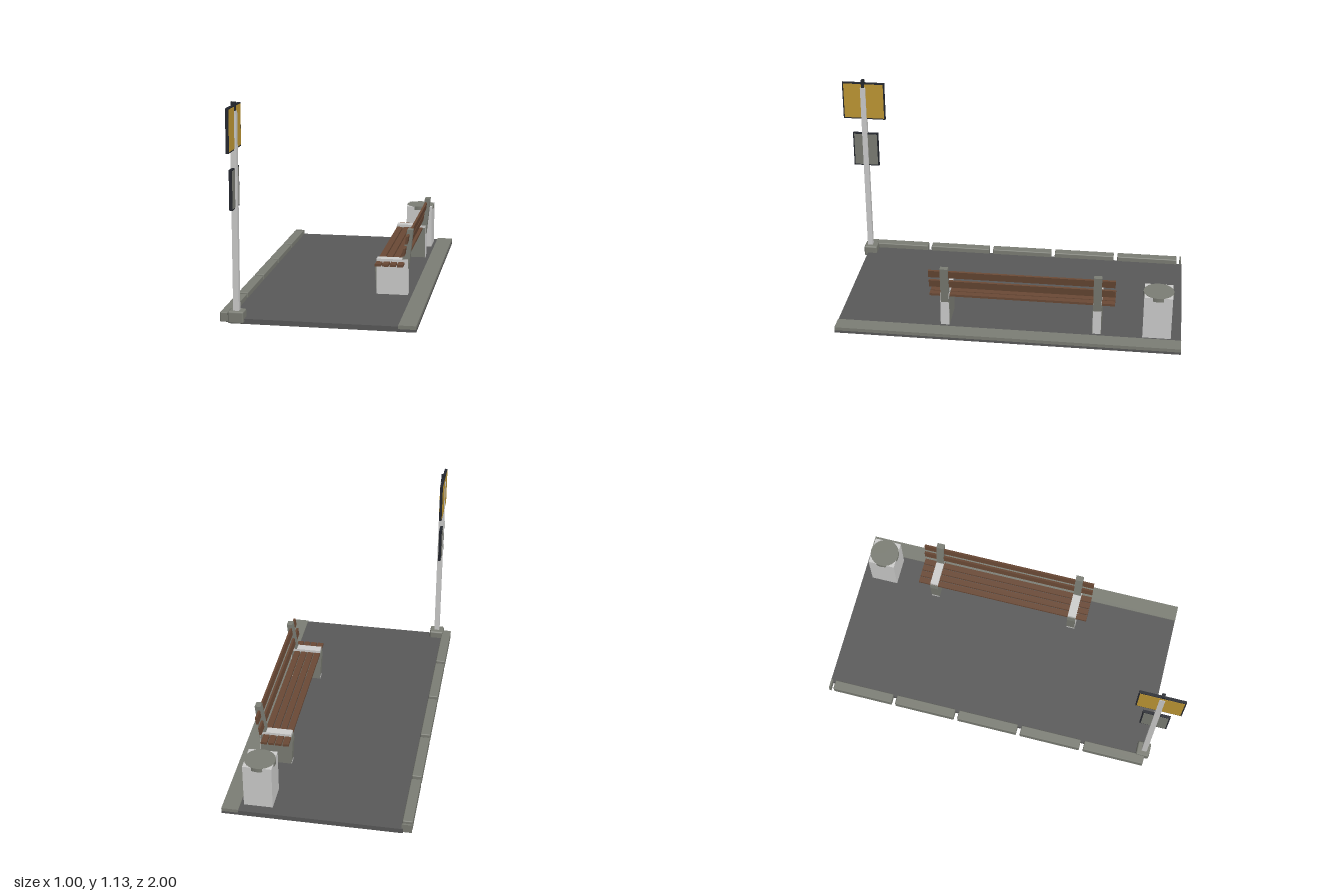
import * as THREE from 'three';
import { RoundedBoxGeometry } from 'three/addons/geometries/RoundedBoxGeometry.js';

const mat = (name, color) => {
  const m = new THREE.MeshStandardMaterial({ color });
  m.name = name;
  return m;
};

export function createModel() {
  const asphalt = mat('asphalt', 0x5a5a5a);
  const stone = mat('stone grey', 0x7d7f76);
  const pale = mat('pale concrete', 0xd0d0cf);
  const wood = mat('brown wood', 0x6b4a36);
  const black = mat('black metal', 0x25282f);
  const yellow = mat('sign yellow', 0xc29a35);

  const model = new THREE.Group();
  model.name = 'busStop';

  const add = (parent, name, geo, material) => {
    const m = new THREE.Mesh(geo, material);
    m.name = name;
    parent.add(m);
    return m;
  };
  const group = (name) => {
    const g = new THREE.Group();
    g.name = name;
    model.add(g);
    return g;
  };
  // Box from its limits on each axis, optionally with softened edges
  const box = (parent, name, material, x0, x1, y0, y1, z0, z1, r = 0) => {
    const s = [x1 - x0, y1 - y0, z1 - z0];
    const geo = r ? new RoundedBoxGeometry(...s, 1, r) : new THREE.BoxGeometry(...s);
    const m = add(parent, name, geo, material);
    m.position.set((x0 + x1) / 2, (y0 + y1) / 2, (z0 + z1) / 2);
    return m;
  };
  // Side profile in x and y, extruded from z0 to z1
  const profile = (parent, name, material, points, z0, z1) => {
    const shape = new THREE.Shape(points.map((p) => new THREE.Vector2(...p)));
    const geo = new THREE.ExtrudeGeometry(shape, { depth: z1 - z0, bevelEnabled: false });
    add(parent, name, geo, material).position.z = z0;
  };

  // Pavement
  const ground = group('pavement');
  box(ground, 'slab', asphalt, -0.455, 0.5, 0, 0.027, -1, 0.89);
  box(ground, 'edgeStrip', stone, 0.41, 0.5, 0.014, 0.033, -1, 0.89).scale.set(1.001, 1, 1.0005);

  // Kerb stones along the road, with a cut sliver at the far end
  const kerb = group('kerb');
  for (let i = 0; i < 5; i++) {
    const z = -0.968 + i * 0.3755;
    box(kerb, 'kerbStone', stone, -0.502, -0.448, 0.004, 0.055, z, z + 0.353, 0.005);
  }
  box(kerb, 'kerbEnd', stone, -0.502, -0.448, 0.004, 0.053, -0.995, -0.985);

  // Sign post
  const post = group('signPost');
  box(post, 'postBase', stone, -0.456, -0.374, 0.004, 0.068, 0.835, 0.912, 0.009);
  box(post, 'pole', pale, -0.43, -0.4, 0.06, 1.085, 0.864, 0.894);
  box(post, 'poleCap', black, -0.426, -0.404, 1.08, 1.13, 0.87, 0.888);

  // Framed boards with a thin face on both sides
  const board = (name, face, y0, y1, z0, z1) => {
    box(post, name + 'Frame', black, -0.426, -0.411, y0, y1, z0, z1);
    const b = 0.007;
    box(post, name + 'Face', face, -0.4275, -0.4095, y0 + b, y1 - b, z0 + b, z1 - b);
  };
  board('stopSign', yellow, 0.89, 1.112, 0.755, 1.0);
  board('timetable', stone, 0.595, 0.8, 0.803, 0.951);

  // Bench supports
  const bench = group('bench');
  const legShape = [[0.216, 0.027], [0.383, 0.027], [0.383, 0.205], [0.211, 0.205], [0.207, 0.17]];
  const strutShape = [[0.345, 0.17], [0.388, 0.17], [0.41, 0.385], [0.379, 0.385]];
  [[0.268, 0.0015], [-0.565, -0.0015]].forEach(([z, front]) => {
    profile(bench, 'leg', stone, legShape, z, z + 0.048);
    box(bench, 'legCore', pale, 0.215, 0.386, 0.027, 0.222, z + 0.001, z + 0.048 + front);
    profile(bench, 'backStrut', stone, strutShape, z + 0.002, z + 0.046);
  });

  // Bench slats
  for (let i = 0; i < 4; i++) {
    const x = 0.215 + i * 0.0395;
    box(bench, 'seatSlat', wood, x, x + 0.033, 0.195, 0.208, -0.635, 0.38);
  }
  [[0.369, 0.276], [0.384, 0.342]].forEach(([x, y]) => {
    const slat = box(bench, 'backSlat', wood, x - 0.006, x + 0.006, y - 0.021, y + 0.021, -0.635, 0.38);
    slat.rotation.z = -0.13;
  });

  // Square litter bin with a round lid showing through its sides
  const bin = group('litterBin');
  box(bin, 'binBody', pale, 0.238, 0.392, 0.027, 0.276, -0.944, -0.79);
  const lid = add(bin, 'binLid', new THREE.CylinderGeometry(0.083, 0.083, 0.022, 24), stone);
  lid.position.set(0.315, 0.266, -0.867);

  return model;
}
